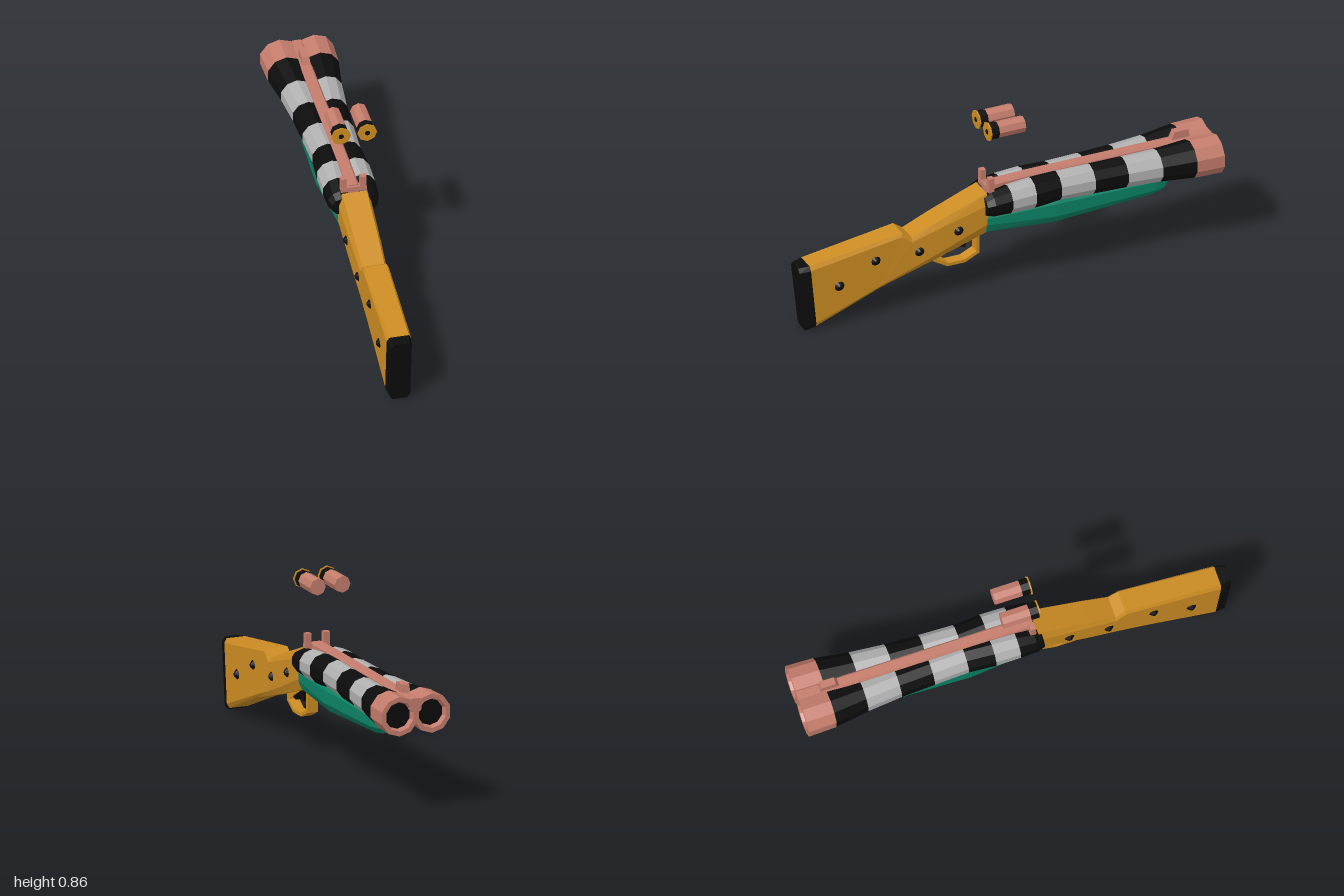
import * as THREE from 'three';

const mat = (name, color) => {
  const m = new THREE.MeshStandardMaterial({ color, flatShading: true });
  m.name = name;
  return m;
};

// Skin a list of rings (counter-clockwise seen from +z, running towards -z)
function loft(rings, startCap, endCap) {
  const pos = [];
  const tri = (...pts) => pts.forEach(p => pos.push(p[0], p[1], p[2]));
  const n = rings[0].length;
  for (let i = 0; i < rings.length - 1; i++) {
    for (let j = 0; j < n; j++) {
      const k = (j + 1) % n;
      const a = rings[i][j], b = rings[i][k], c = rings[i + 1][k], d = rings[i + 1][j];
      tri(a, d, c);
      tri(a, c, b);
    }
  }
  const last = rings[rings.length - 1];
  for (let j = 1; j < n - 1; j++) {
    if (startCap) tri(rings[0][0], rings[0][j], rings[0][j + 1]);
    if (endCap) tri(last[0], last[j + 1], last[j]);
  }
  const g = new THREE.BufferGeometry();
  g.setAttribute('position', new THREE.Float32BufferAttribute(pos, 3));
  g.computeVertexNormals();
  return g;
}

// Chamfered box section: top and bottom edge positions, half width, side and height chamfers
function section([topZ, topY, botZ, botY, w, bx, by]) {
  const t = by / (topY - botY);
  const p = (x, f) => [x, botY + (topY - botY) * f, botZ + (topZ - botZ) * f];
  const i = w - bx;
  return [p(i, 0), p(w, t), p(w, 1 - t), p(i, 1), p(-i, 1), p(-w, 1 - t), p(-w, t), p(-i, 0)];
}

// Ten-sided ring for the barrels
function ring(x, y, z, r) {
  return Array.from({ length: 10 }, (_, k) => {
    const a = Math.PI / 2 + k * Math.PI / 5;
    return [x + r * Math.cos(a), y + r * Math.sin(a), z];
  });
}

export function createModel() {
  const group = new THREE.Group();
  const orange = mat('orange wood', 0xcc8c22), black = mat('black', 0x0c0c0c);
  const grey = mat('light grey', 0xb0b0b0), pink = mat('pink metal', 0xc47c6c);
  const green = mat('green', 0x0c8466);

  const add = (name, geo, material, x = 0, y = 0, z = 0, parent = group) => {
    const m = new THREE.Mesh(geo, material);
    m.name = name;
    m.position.set(x, y, z);
    parent.add(m);
    return m;
  };
  const box = (name, w, h, d, m, x, y, z) => add(name, new THREE.BoxGeometry(w, h, d), m, x, y, z);

  // Stock and butt pad
  const butt = [0.95, 0.328, 0.92, 0.018, 0.056, 0.012, 0.02];
  add('buttPad', loft([[1.0, 0.322, 0.965, 0, 0.046, 0.014, 0.02], butt].map(section), true, false), black);
  add('stock', loft([
    butt,
    [0.505, 0.392, 0.605, 0.145, 0.058, 0.009, 0.015],
    [0.46, 0.36, 0.46, 0.189, 0.06, 0.01, 0.02],
    [0.34, 0.409, 0.34, 0.226, 0.066, 0.013, 0.03],
    [0.1, 0.499, 0.1, 0.305, 0.074, 0.018, 0.05],
  ].map(section), false, true), orange);

  // Raised studs on both sides of the stock
  for (const [z, y, tip] of [[0.81, 0.2, 0.07], [0.635, 0.286, 0.07], [0.425, 0.285, 0.074], [0.24, 0.35, 0.082]]) {
    for (const s of [1, -1]) {
      const geo = new THREE.CylinderGeometry(0.008, 0.044, 0.032, 10).rotateZ(-s * Math.PI / 2);
      add('stud', geo, black, s * (tip - 0.016), y, z);
    }
  }

  // Trigger guard: a band drawn in (z, y) and extruded across x
  const pts = list => list.map(([z, y]) => new THREE.Vector2(-z, y));
  const guard = new THREE.Shape(pts([
    [0.34, 0.235], [0.34, 0.195], [0.275, 0.157], [0.19, 0.157], [0.12, 0.19], [0.12, 0.32],
  ]));
  guard.holes.push(new THREE.Path(pts([
    [0.325, 0.245], [0.325, 0.203], [0.27, 0.172], [0.194, 0.172], [0.135, 0.199], [0.135, 0.305],
  ])));
  const guardGeo = new THREE.ExtrudeGeometry(guard, { depth: 0.05, bevelEnabled: false });
  guardGeo.translate(0, 0, -0.025).rotateY(Math.PI / 2);
  add('triggerGuard', guardGeo, orange);

  // Two triggers
  for (const [z, y] of [[0.28, 0.25], [0.195, 0.265]]) {
    box('trigger', 0.03, 0.065, 0.04, black, 0, y, z).rotation.x = -0.3;
  }

  // Receiver and fore-end under the barrels
  add('receiver', loft([
    [0.105, 0.42, 0.105, 0.308, 0.075, 0.015, 0.04],
    [-0.225, 0.43, -0.225, 0.288, 0.097, 0.026, 0.04],
  ].map(section), true, false), green);
  add('foreEnd', loft([
    [-0.225, 0.43, -0.225, 0.288, 0.097, 0.026, 0.04],
    [-0.7, 0.41, -0.7, 0.308, 0.085, 0.026, 0.03],
    [-0.75, 0.4, -0.75, 0.315, 0.075, 0.026, 0.025],
    [-0.775, 0.385, -0.775, 0.335, 0.055, 0.02, 0.015],
  ].map(section), false, true), green);

  // Barrels: striped bands of [z, centre x, centre y, radius]
  const bands = [
    [black, [0.115, 0.062, 0.44, 0.042], [0.08, 0.06, 0.443, 0.056], [0, 0.054, 0.448, 0.066]],
    [grey, [0, 0.054, 0.448, 0.066], [-0.115, 0.05, 0.452, 0.071]],
    [black, [-0.115, 0.05, 0.452, 0.071], [-0.24, 0.042, 0.453, 0.07]],
    [grey, [-0.24, 0.042, 0.453, 0.07], [-0.4, 0.048, 0.453, 0.07]],
    [black, [-0.4, 0.048, 0.453, 0.07], [-0.555, 0.054, 0.453, 0.071]],
    [grey, [-0.555, 0.054, 0.453, 0.071], [-0.715, 0.065, 0.453, 0.075]],
    [black, [-0.715, 0.065, 0.453, 0.075], [-0.87, 0.076, 0.455, 0.087]],
    [pink, [-0.87, 0.076, 0.455, 0.088], [-1, 0.078, 0.455, 0.09], [-1, 0.078, 0.455, 0.068], [-0.975, 0.078, 0.455, 0.06]],
    [black, [-0.97, 0.078, 0.455, 0.062], [-0.975, 0.078, 0.455, 0.062]],
  ];
  for (const s of [1, -1]) {
    const barrel = new THREE.Group();
    barrel.name = s > 0 ? 'leftBarrel' : 'rightBarrel';
    group.add(barrel);
    bands.forEach(([m, ...rows], i) => {
      const rings = rows.map(([z, x, y, r]) => ring(s * x, y, z, r));
      const bore = i === bands.length - 1;
      const name = bore ? 'bore' : m === pink ? 'muzzle' : 'barrelBand';
      add(name, loft(rings, i === 0 || m === pink, bore), m, 0, 0, 0, barrel);
    });
  }

  // Sighting rib, front sight and rear sight
  add('rib', loft([
    [0.08, 0.525, 0.08, 0.47, 0.027, 0.008, 0.01],
    [-0.1, 0.53, -0.1, 0.47, 0.027, 0.008, 0.01],
    [-1, 0.53, -1, 0.47, 0.027, 0.008, 0.01],
  ].map(section), true, true), pink);
  const sight = new THREE.Shape(pts([[-0.805, 0.52], [-0.9, 0.52], [-0.89, 0.567], [-0.825, 0.567]]));
  const sightGeo = new THREE.ExtrudeGeometry(sight, { depth: 0.034, bevelEnabled: false });
  sightGeo.translate(0, 0, -0.017).rotateY(Math.PI / 2);
  add('frontSight', sightGeo, pink);
  box('rearSightBase', 0.116, 0.022, 0.028, pink, 0, 0.508, 0.077);
  for (const s of [1, -1]) box('rearSightPost', 0.028, 0.07, 0.025, pink, s * 0.044, 0.532, 0.077);

  // Two cartridges floating above
  const disc = (r, z0, z1) => new THREE.CylinderGeometry(r, r, z1 - z0, 8)
    .rotateX(Math.PI / 2).translate(0, 0, (z0 + z1) / 2);
  for (const s of [1, -1]) {
    const shell = new THREE.Group();
    shell.name = 'cartridge';
    shell.position.set(s * 0.059, 0.813, 0);
    group.add(shell);
    add('cartridgeCase', disc(0.038, -0.072, 0.055), pink, 0, 0, 0, shell);
    add('cartridgeBand', disc(0.039, 0.055, 0.093), black, 0, 0, 0, shell);
    add('cartridgeRim', disc(0.044, 0.093, 0.1), orange, 0, 0, 0, shell);
    add('primer', disc(0.012, 0.098, 0.102), black, 0, 0, 0, shell);
  }
  return group;
}
